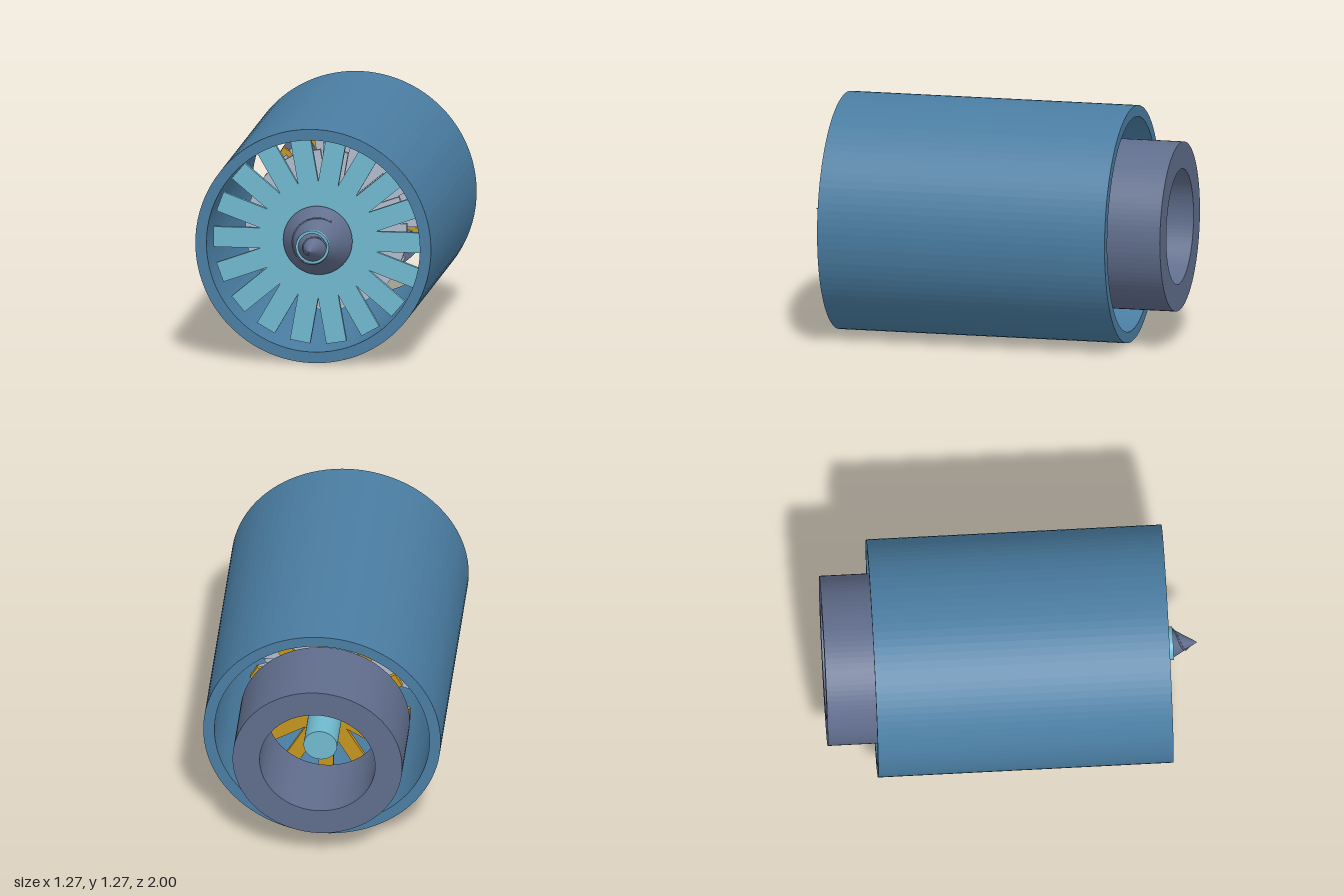
import * as THREE from 'three';

const AXIS_Y = 0.637;

const material = (name, color, side = THREE.FrontSide) => {
  const m = new THREE.MeshStandardMaterial({ color, side });
  m.name = name;
  return m;
};

export function createModel() {
  const steelBlue = material('steel blue', 0x4a7da2);
  const slate = material('slate', 0x606d8c);
  const cyan = material('cyan', 0x70b9cf);
  const paleGrey = material('pale grey', 0xb2bccd);
  const amber = material('amber', 0xc4951f);

  // Everything is built around the z axis, then lifted so the duct rests on y = 0
  const engine = new THREE.Group();
  engine.name = 'engine';
  engine.position.y = AXIS_Y;

  const add = (name, geometry, mat, parent = engine) => {
    const mesh = new THREE.Mesh(geometry, mat);
    mesh.name = name;
    parent.add(mesh);
    return mesh;
  };

  // Hollow cylinder from z0 to z1
  const tube = (name, outer, inner, z0, z1, mat) => {
    const shape = new THREE.Shape().absarc(0, 0, outer, 0, Math.PI * 2);
    shape.holes.push(new THREE.Path().absarc(0, 0, inner, 0, Math.PI * 2, true));
    const geometry = new THREE.ExtrudeGeometry(shape, { depth: z1 - z0, bevelEnabled: false, curveSegments: 48 });
    geometry.translate(0, 0, z0);
    return add(name, geometry, mat);
  };

  // Solid round bar or cone from z0 (radius r0) to z1 (radius r1)
  const bar = (name, r0, r1, z0, z1, mat) => {
    const geometry = new THREE.CylinderGeometry(r1, r0, z1 - z0, 64);
    geometry.rotateX(Math.PI / 2).translate(0, 0, (z0 + z1) / 2);
    return add(name, geometry, mat);
  };

  // Ring of flat radial blades
  const bladeRing = (name, count, tip, width, depth, z, mat, turn = 0) => {
    const ring = new THREE.Group();
    ring.name = name;
    ring.position.z = z;
    engine.add(ring);
    const root = 0.05;
    const geometry = new THREE.BoxGeometry(tip - root, width, depth);
    geometry.translate((tip + root) / 2, 0, 0);
    for (let i = 0; i < count; i++) {
      add('blade', geometry, mat, ring).rotation.z = turn + (i / count) * Math.PI * 2;
    }
  };

  // Outer duct and rear nozzle
  tube('duct', 0.637, 0.577, -0.74, 0.84, steelBlue);
  tube('nozzle', 0.455, 0.31, -1, -0.57, slate);

  // Central shaft and nose cone
  bar('shaft', 0.09, 0.09, -0.835, 0.87, cyan);
  bar('noseCone', 0.187, 0, 0.68, 1, slate);

  // Fine spiral ridge just proud of the nose cone
  const points = [];
  for (let i = 0; i <= 40; i++) {
    const t = i / 40;
    const r = 0.02 + 0.125 * t;
    const a = -Math.PI / 2 - t * Math.PI * 3.2;
    points.push(new THREE.Vector3(r * Math.cos(a), r * Math.sin(a), 1 - r * (0.32 / 0.187)));
  }
  add('noseSpiral', new THREE.TubeGeometry(new THREE.CatmullRomCurve3(points), 120, 0.005, 6), slate);

  // Front fan
  bladeRing('fan', 18, 0.565, 0.11, 0.025, 0.655, cyan);

  // Compressor stages
  [0.38, 0.2, 0.02].forEach((z, i) =>
    bladeRing('compressorStage', 18, 0.435, 0.09, 0.025, z, paleGrey, (i % 2) * Math.PI / 18));

  // Turbine in front of the nozzle
  bladeRing('turbine', 12, 0.45, 0.08, 0.025, -0.5, amber);

  const model = new THREE.Group();
  model.name = 'turbofan';
  model.add(engine);
  return model;
}
